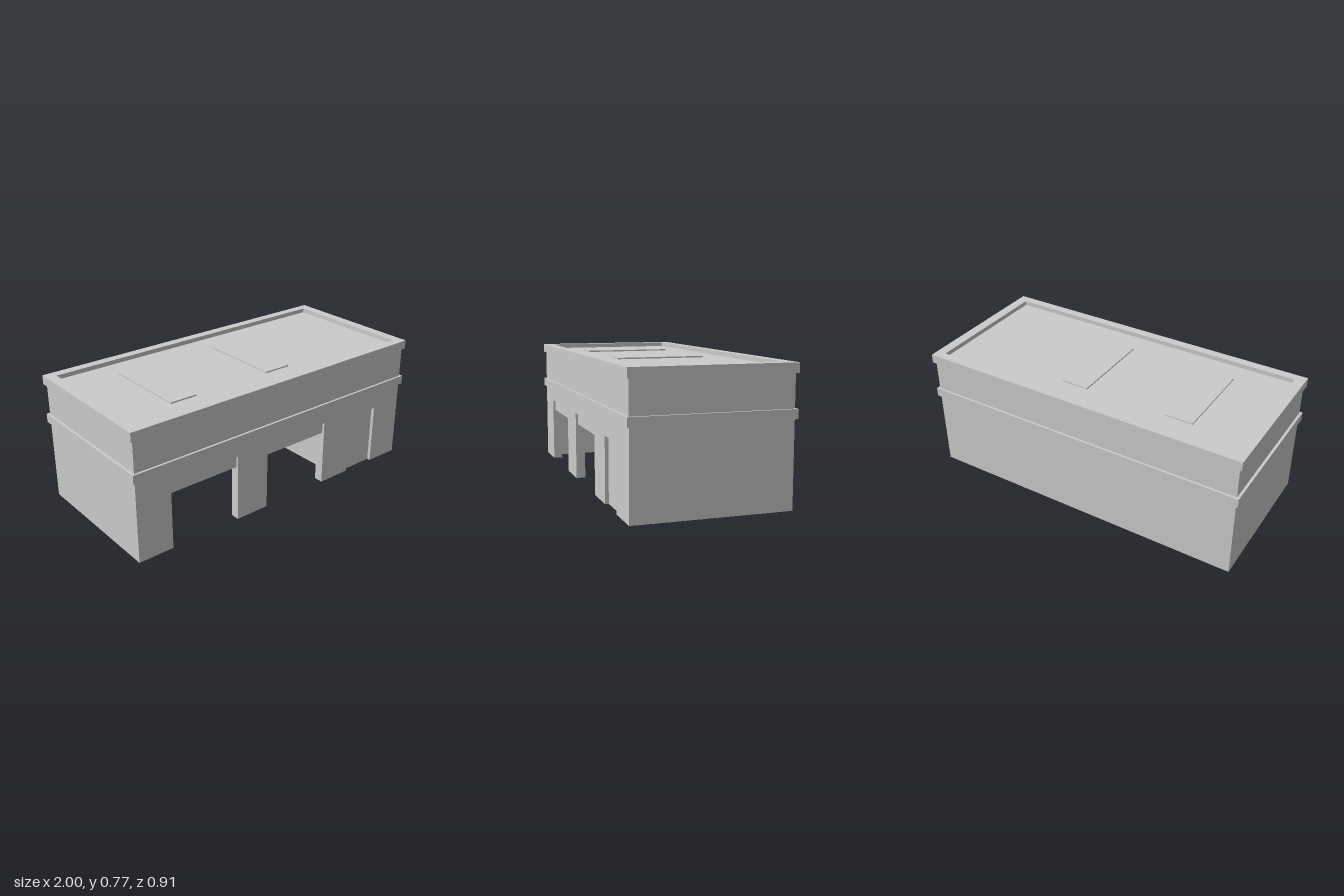
import * as THREE from 'three';

const W = 0.985, D = 0.44;          // half width and half depth of the walls
const CEILING = 0.48, ROOF = 0.742, TOP = 0.768;
const FRONT_IN = 0.385;             // inner face of the front wall
const BAYS = [[-0.77, -0.325], [-0.11, 0.335]];
const BAY_H = 0.4, DOOR = [0.55, 0.77], DOOR_H = 0.37;

export function createModel() {
  const group = new THREE.Group();
  const material = new THREE.MeshStandardMaterial({ color: 0xcccccc, flatShading: true });

  const add = (name, geometry) => {
    const mesh = new THREE.Mesh(geometry, material);
    mesh.name = name;
    group.add(mesh);
    return mesh;
  };
  // Box given by its limits on each axis
  const box = (name, [x0, x1], [y0, y1], [z0, z1]) =>
    add(name, new THREE.BoxGeometry(x1 - x0, y1 - y0, z1 - z0)
      .translate((x0 + x1) / 2, (y0 + y1) / 2, (z0 + z1) / 2));
  const shapeOf = (points) => new THREE.Shape(points.map(([x, y]) => new THREE.Vector2(x, y)));
  const extrude = (shape, depth) => new THREE.ExtrudeGeometry(shape, { depth, bevelEnabled: false });
  // Floor plan (x, -z) raised from y0 to y1
  const raise = (name, shape, y0, y1) =>
    add(name, extrude(shape, y1 - y0).rotateX(-Math.PI / 2).translate(0, y0, 0));

  // Thick back and side walls around the open garage
  raise('sideAndBackWalls', shapeOf([
    [-W, -FRONT_IN], [-0.88, -FRONT_IN], [-0.88, 0.31], [0.46, 0.31],
    [0.46, -FRONT_IN], [W, -FRONT_IN], [W, D], [-W, D],
  ]), 0, CEILING);

  // Front wall, notched for two vehicle bays and the side door
  const outline = [[-W, 0]];
  for (const [x0, x1, h] of [...BAYS.map((b) => [...b, BAY_H]), [...DOOR, DOOR_H]])
    outline.push([x0, 0], [x0, h], [x1, h], [x1, 0]);
  outline.push([W, 0], [W, CEILING], [-W, CEILING]);
  add('frontWall', extrude(shapeOf(outline), D - FRONT_IN).translate(0, 0, FRONT_IN));

  // Upper storey block, closed below by the garage ceiling
  box('upperWalls', [-W, W], [CEILING, ROOF], [-D, D]);

  // Rolled-up shutters and a roof hatch on the line of each bay
  for (const [x0, x1] of BAYS) {
    const mid = (x0 + x1) / 2;
    box('rolledShutter', [x0, x1], [0.33, BAY_H], [0.4, 0.425]);
    box('roofHatch', [mid - 0.083, mid + 0.083], [ROOF - 0.01, ROOF + 0.008], [-0.26, 0.26]);
  }
  box('sideDoor', DOOR, [0, DOOR_H], [FRONT_IN, 0.42]);

  // Projecting bands: a string course and the parapet rim
  const band = (name, y0, y1, ix, iz) => {
    const rect = (x, z) => [[-x, -z], [x, -z], [x, z], [-x, z]];
    const shape = shapeOf(rect(1, 0.453));
    shape.holes.push(shapeOf(rect(ix, iz)));
    raise(name, shape, y0, y1);
  };
  band('stringCourse', 0.48, 0.532, W - 0.01, D - 0.01);
  band('parapetRim', 0.715, TOP, 0.94, 0.4);

  return group;
}
